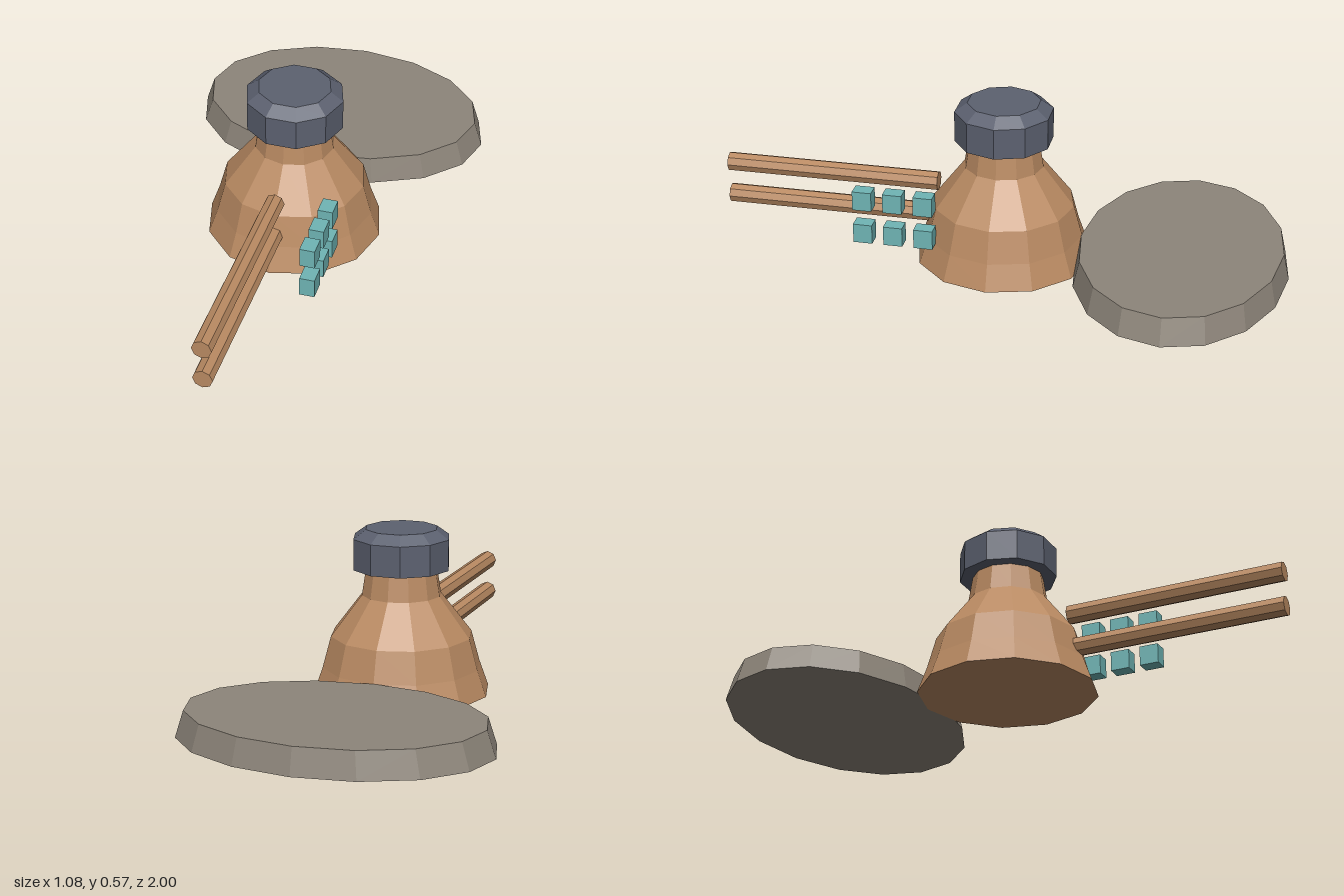
import * as THREE from 'three';

const material = (color) => new THREE.MeshStandardMaterial({ color, flatShading: true });
const clay = material(0xb98a62);
const slate = material(0x5c6170);
const stone = material(0x8d857a);
const teal = material(0x6fb5b5);

export function createModel() {
  const model = new THREE.Group();

  const add = (name, geometry, mat, x = 0, y = 0, z = 0) => {
    const mesh = new THREE.Mesh(geometry, mat);
    mesh.name = name;
    mesh.position.set(x, y, z);
    model.add(mesh);
    return mesh;
  };
  // Closed faceted solid turned from [radius, height] pairs, bottom to top
  const turned = (profile, sides) =>
    new THREE.LatheGeometry(profile.map(([r, y]) => new THREE.Vector2(r, y)), sides);

  // Bell-shaped body with a narrow neck
  add('body', turned(
    [[0, 0], [0.31, 0], [0.278, 0.09], [0.248, 0.2], [0.139, 0.342], [0.122, 0.45], [0, 0.45]], 12), clay);

  // Ten-sided cap with a bevelled top
  const cap = turned([[0, 0.435], [0.171, 0.435], [0.171, 0.543], [0.127, 0.575], [0, 0.575]], 10);
  cap.rotateY(Math.PI / 2);
  add('cap', cap, slate);

  // Oval tapered slab behind the body
  const slab = new THREE.CylinderGeometry(0.51, 0.54, 0.092, 16);
  slab.scale(1, 1, 0.69);
  add('rearSlab', slab, stone, 0, 0.046, -0.627);

  // Two levels, each with a forward rod and a row of three blocks
  [['upper', 0.249], ['lower', 0.125]].forEach(([level, y]) => {
    const rod = new THREE.CylinderGeometry(0.034, 0.034, 0.767, 8);
    rod.rotateX(Math.PI / 2);
    add(level + 'Rod', rod, clay, 0, y, 0.6165);
    for (let i = 0; i < 3; i++) {
      add(level + 'Block' + (i + 1), new THREE.BoxGeometry(0.052, 0.069, 0.067), teal,
        0.188, y, 0.24 + i * 0.107);
    }
  });

  return model;
}
